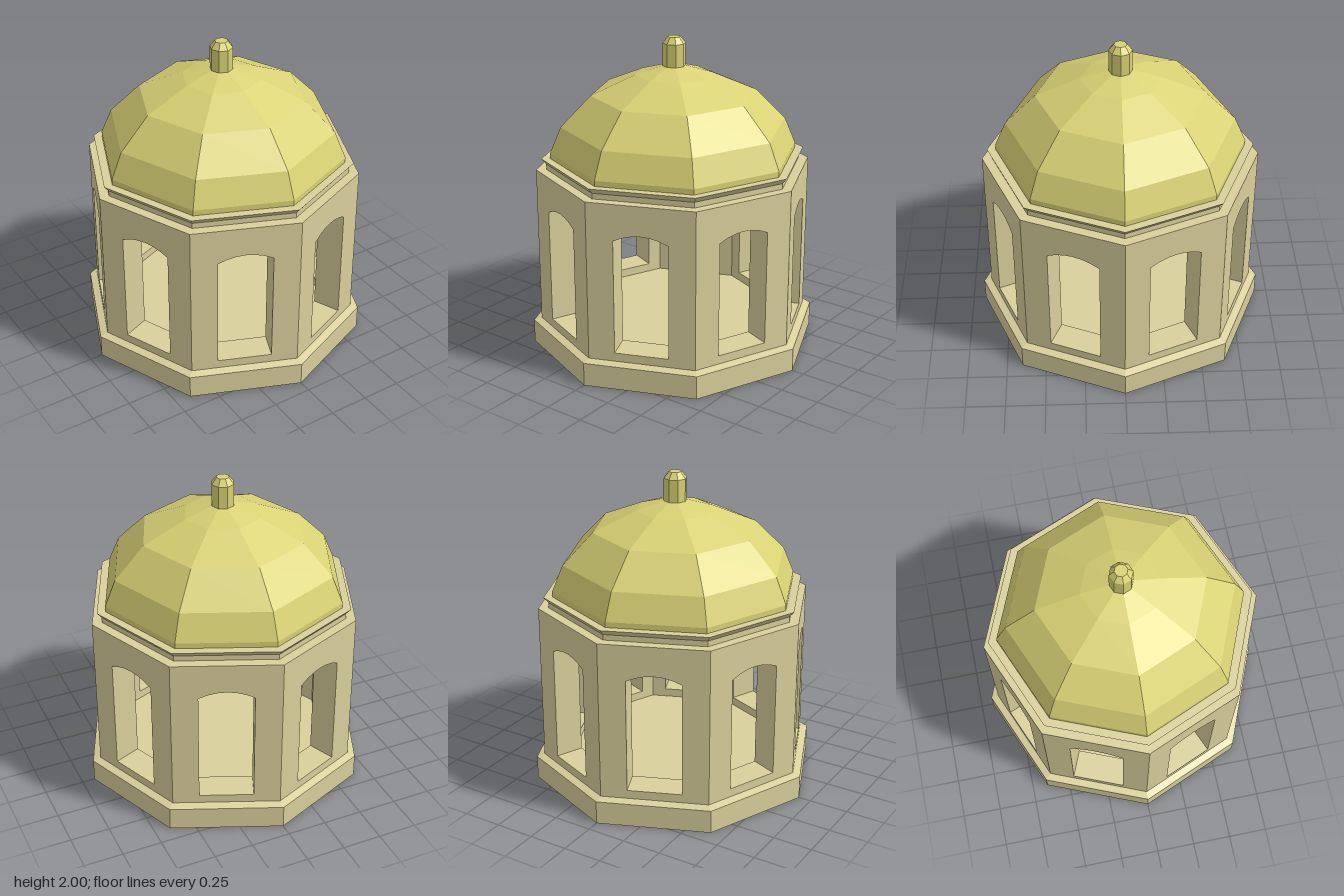
import * as THREE from 'three';

const SIDES = 8;
const TAN = Math.tan(Math.PI / SIDES);
const COS = Math.cos(Math.PI / SIDES);

const stone = new THREE.MeshStandardMaterial({ color: 0xd9d09c, flatShading: true });
const gold = new THREE.MeshStandardMaterial({ color: 0xd9d275, flatShading: true });

// Octagonal solid from a [radius, height] profile, corners on the axes
function octagon(name, profile, material) {
  const points = profile.map(([r, y]) => new THREE.Vector2(r, y));
  const mesh = new THREE.Mesh(new THREE.LatheGeometry(points, SIDES), material);
  mesh.name = name;
  return mesh;
}

// One wall panel with an arched opening and mitred ends
function wallGeometry() {
  const outer = 0.87 * COS, depth = 0.18, half = outer * TAN;
  const w = 0.168, sill = 0.22, spring = 0.95;
  const shape = new THREE.Shape();
  shape.moveTo(-half, 0.15).lineTo(half, 0.15).lineTo(half, 1.18).lineTo(-half, 1.18).closePath();
  const hole = new THREE.Path();
  hole.moveTo(-w, sill).lineTo(-w, spring).quadraticCurveTo(0, 1.035, w, spring).lineTo(w, sill).closePath();
  shape.holes.push(hole);
  const geometry = new THREE.ExtrudeGeometry(shape, { depth, bevelEnabled: false, curveSegments: 6 });
  geometry.translate(0, 0, outer - depth);
  const pos = geometry.attributes.position;
  for (let i = 0; i < pos.count; i++) {
    const x = pos.getX(i);
    if (Math.abs(x) > 0.25) pos.setX(i, Math.sign(x) * pos.getZ(i) * TAN);
  }
  geometry.computeVertexNormals();
  return geometry;
}

export function createModel() {
  const model = new THREE.Group();
  model.name = 'pavilion';

  // Plinth with a sloped lip and the floor
  model.add(octagon('plinth', [[0, 0], [0.92, 0], [0.92, 0.15], [0.87, 0.165], [0, 0.165]], stone));

  // Eight arched walls
  const walls = new THREE.Group();
  walls.name = 'walls';
  const panel = wallGeometry();
  for (let i = 0; i < SIDES; i++) {
    const wall = new THREE.Mesh(panel, stone);
    wall.name = 'archedWall';
    wall.rotation.y = (i + 0.5) * Math.PI * 2 / SIDES;
    walls.add(wall);
  }
  model.add(walls);

  // Flared cornice ring between walls and dome
  model.add(octagon('cornice', [
    [0.675, 1.18], [0.806, 1.18], [0.806, 1.215], [0.835, 1.25], [0.675, 1.25], [0.675, 1.18],
  ], stone));

  // Dome shell and the vault under it
  model.add(octagon('dome', [
    [0.78, 1.25], [0.78, 1.285], [0.71, 1.45], [0.52, 1.645], [0.245, 1.765], [0, 1.84],
  ], gold));
  model.add(octagon('vault', [
    [0, 1.78], [0.22, 1.71], [0.46, 1.6], [0.63, 1.42], [0.675, 1.25],
  ], stone));

  // Finial with a chamfered top
  model.add(octagon('finial', [[0.072, 1.79], [0.072, 1.96], [0.04, 2], [0, 2]], gold));

  return model;
}
